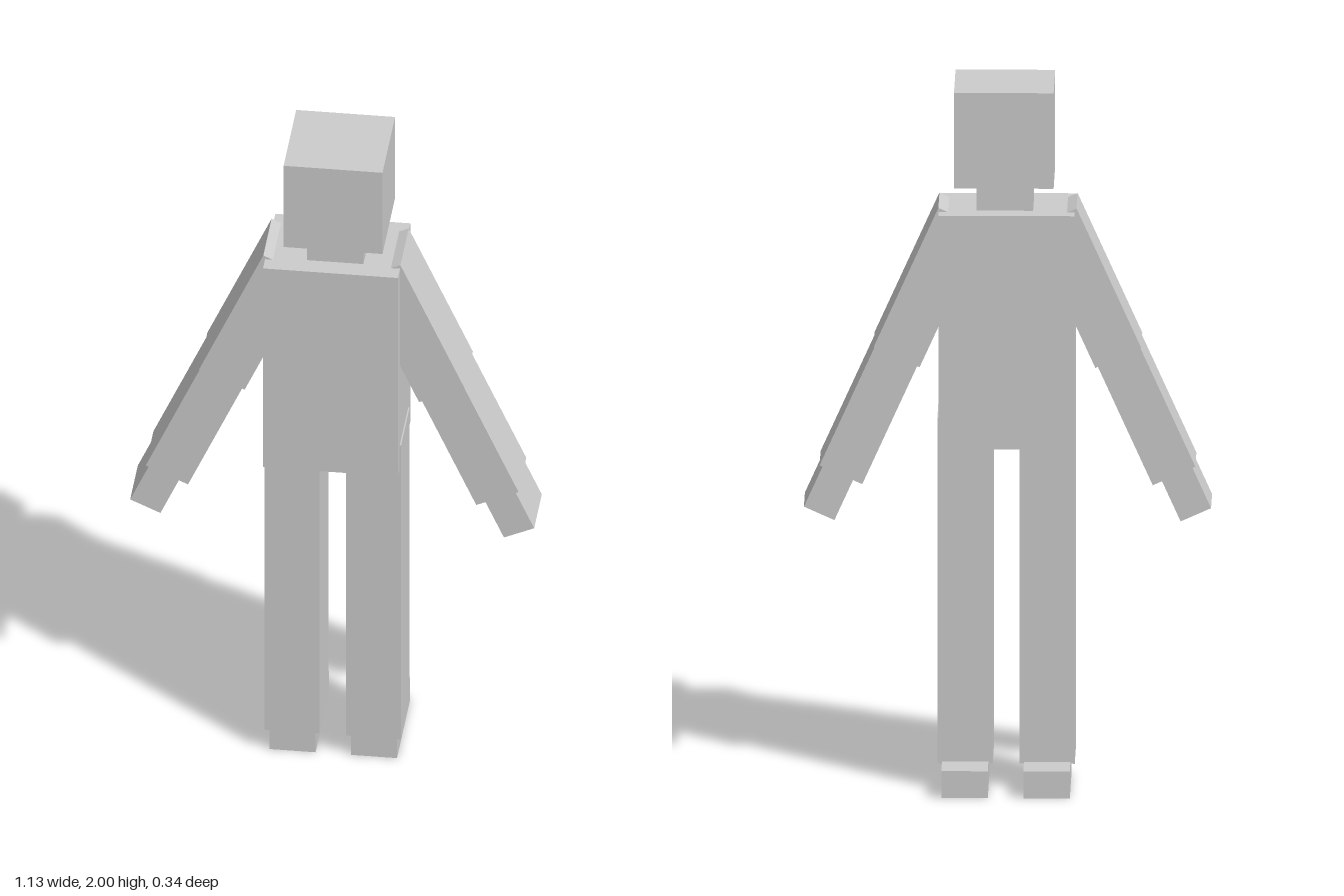
import * as THREE from 'three';

const grey = new THREE.MeshStandardMaterial({ color: 0xcccccc });
grey.name = 'plain grey';

// Box given by its minimum and maximum on each axis
function block(name, [x0, x1], [y0, y1], [z0, z1]) {
  const mesh = new THREE.Mesh(new THREE.BoxGeometry(x1 - x0, y1 - y0, z1 - z0), grey);
  mesh.position.set((x0 + x1) / 2, (y0 + y1) / 2, (z0 + z1) / 2);
  mesh.name = name;
  return mesh;
}

// Arm hanging from the outer shoulder corner, swung outward; side is +1 or -1
function arm(side, name) {
  const group = new THREE.Group();
  const part = (label, inner, outer, top, bottom, z) =>
    block(label, side > 0 ? [-inner, -outer] : [outer, inner], [-bottom, -top], z);
  group.add(
    part('upperArm', 0.14, 0, 0, 0.437, [-0.06, 0.123]),
    part('forearm', 0.133, 0.003, 0.43, 0.809, [-0.054, 0.117]),
    part('hand', 0.105, 0.012, 0.8, 0.935, [-0.053, 0.116]),
  );
  group.position.set(side * 0.192 + 0.001, 1.66, 0);
  group.rotation.z = side * THREE.MathUtils.degToRad(24.3);
  group.name = name;
  return group;
}

export function createModel() {
  const model = new THREE.Group();
  model.name = 'blockFigure';

  // Head, neck and torso
  model.add(
    block('head', [-0.128, 0.149], [1.727, 2], [-0.106, 0.172]),
    block('neck', [-0.07, 0.088], [1.63, 1.735], [-0.04, 0.113]),
    block('torso', [-0.186, 0.192], [0.98, 1.648], [-0.103, 0.169]),
  );

  // Legs, with feet reaching toward -z
  for (const [side, x] of [['left', 0.119], ['right', -0.109]]) {
    model.add(
      block(side + 'Leg', [x - 0.077, x + 0.077], [0.072, 1.06], [-0.058, 0.132]),
      block(side + 'Foot', [x - 0.065, x + 0.064], [0, 0.077], [-0.172, 0.12]),
    );
  }

  // Arms
  model.add(arm(1, 'leftArm'), arm(-1, 'rightArm'));
  return model;
}
